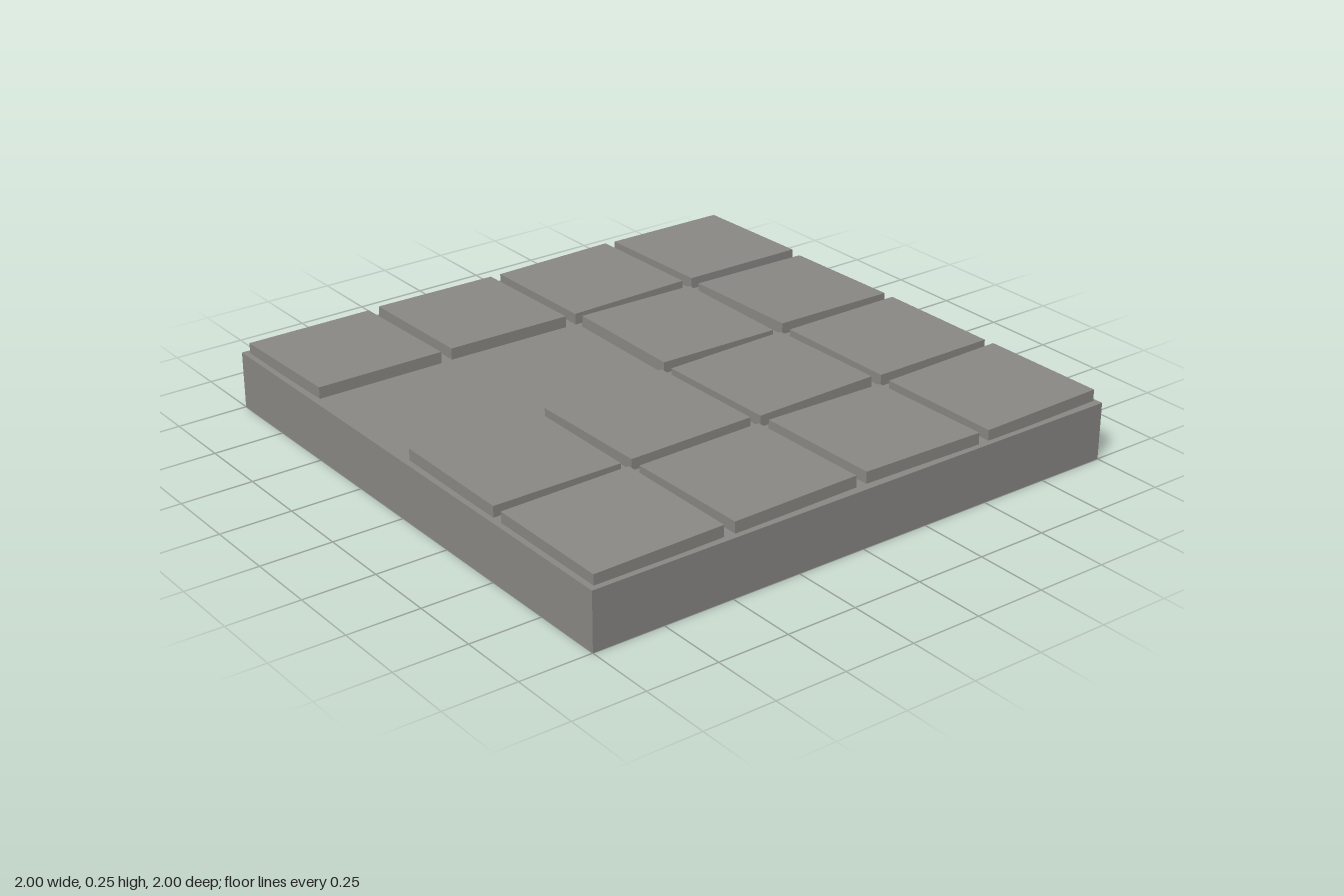
import * as THREE from 'three';

export function createModel() {
  const model = new THREE.Group();
  const stone = new THREE.MeshStandardMaterial({ color: 0x8b8985 });
  stone.name = 'warmGreyStone';

  // Solid slab under the paving
  const slab = new THREE.Mesh(new THREE.BoxGeometry(2, 0.2, 2), stone);
  slab.name = 'baseSlab';
  slab.position.y = 0.1;
  model.add(slab);

  // Rows run back to front; each entry is [rise towards +x, rise towards +z], null is a missing tile
  const rows = [
    [[0.018, 0.007], [0.016, 0.014], [0.002, -0.003], [0.004, -0.018]],
    [[0.012, -0.014], [-0.014, 0.014], [0.012, -0.016], [0.012, 0.014]],
    [[0.014, 0.01], null, [0.01, -0.014], [0.012, -0.014]],
    [[0.02, 0.002], null, [-0.008, 0.002], [-0.004, -0.014]],
  ];

  // Uneven paving tiles, partly sunk into the slab
  const tileGeometry = new THREE.BoxGeometry(0.46, 0.04, 0.46);
  rows.forEach((row, r) => row.forEach((tilt, c) => {
    if (!tilt) return;
    const tile = new THREE.Mesh(tileGeometry, stone);
    tile.name = `pavingTile${r + 1}_${c + 1}`;
    tile.position.set(-0.75 + c * 0.5, 0.22, -0.75 + r * 0.5);
    tile.rotation.set(-tilt[1], 0, tilt[0]);
    model.add(tile);
  }));

  return model;
}
